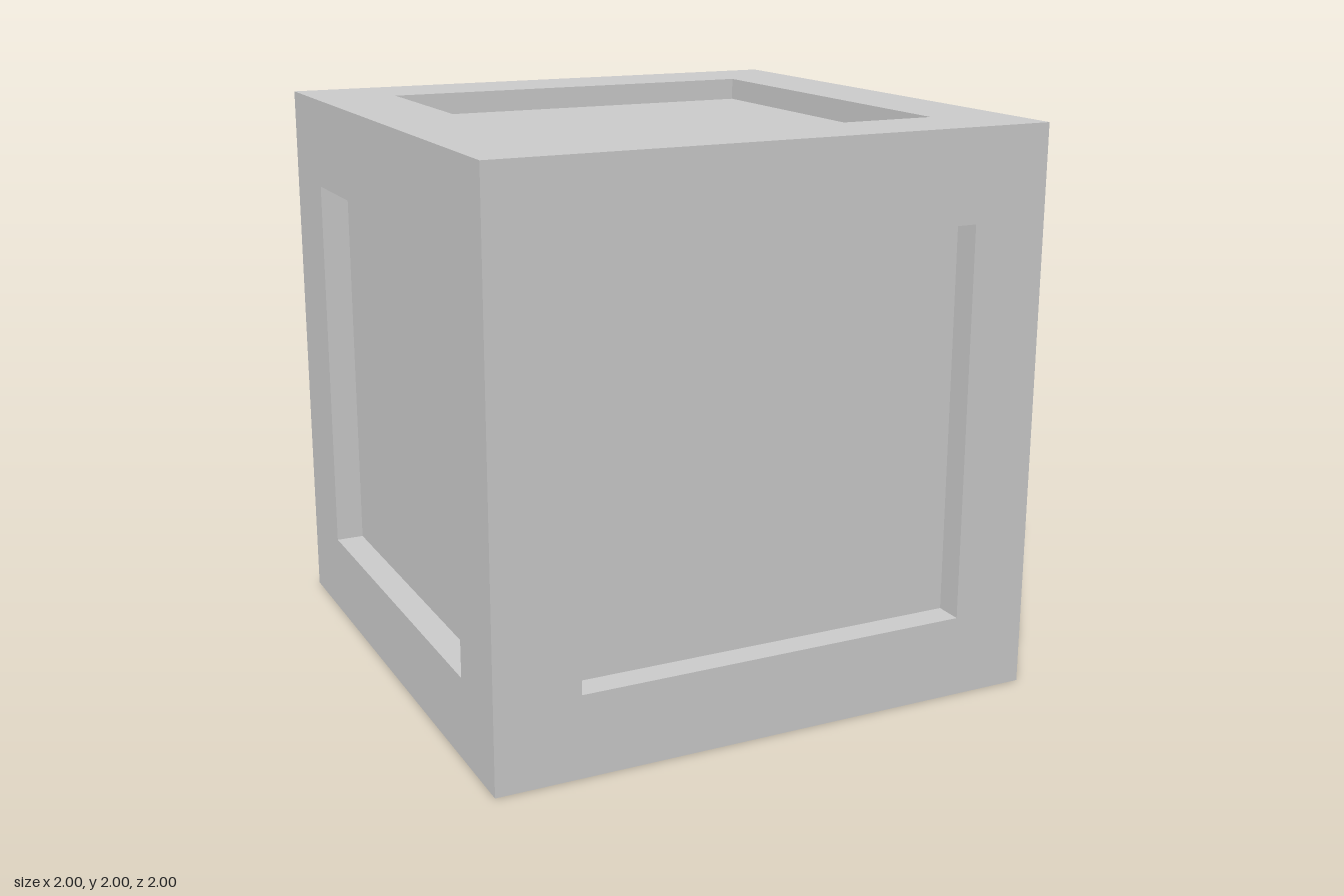
import * as THREE from 'three';

const material = new THREE.MeshStandardMaterial({ color: 0xcccccc, flatShading: true });

// Recess opening, measured from the cube's centre, and recess depth per axis
const LOW = new THREE.Vector3(-0.7, -0.71, -0.69);
const HIGH = new THREE.Vector3(0.725, 0.68, 0.715);
const DEPTH = new THREE.Vector3(0.1, 0.08, 0.1);

function rectangle(corners) {
  return corners.map(([u, v]) => new THREE.Vector2(u, v));
}

function addPart(group, name, geometry) {
  const mesh = new THREE.Mesh(geometry, material);
  mesh.name = name;
  group.add(mesh);
  return mesh;
}

// Four inward-facing walls around the opening
function wallGeometry(corners, depth) {
  const positions = [];
  corners.forEach((a, i) => {
    const b = corners[(i + 1) % 4];
    positions.push(...a, 0, ...b, 0, ...b, -depth);
    positions.push(...a, 0, ...b, -depth, ...a, -depth);
  });
  const geometry = new THREE.BufferGeometry();
  geometry.setAttribute('position', new THREE.Float32BufferAttribute(positions, 3));
  geometry.computeVertexNormals();
  return geometry;
}

// One cube side: flat border, recess walls and sunken panel
function createSide(name, right, up) {
  const u = new THREE.Vector3(...right);
  const v = new THREE.Vector3(...up);
  const n = new THREE.Vector3().crossVectors(u, v);
  const [u0, u1] = [LOW.dot(u), HIGH.dot(u)].sort((a, b) => a - b);
  const [v0, v1] = [LOW.dot(v), HIGH.dot(v)].sort((a, b) => a - b);
  const depth = Math.abs(DEPTH.dot(n));
  const opening = [[u0, v0], [u1, v0], [u1, v1], [u0, v1]];

  const side = new THREE.Group();
  side.name = name;

  const border = new THREE.Shape(rectangle([[-1, -1], [1, -1], [1, 1], [-1, 1]]));
  border.holes.push(new THREE.Path(rectangle(opening)));
  addPart(side, 'border', new THREE.ShapeGeometry(border));
  addPart(side, 'recessWalls', wallGeometry(opening, depth));
  const panel = addPart(side, 'sunkenPanel', new THREE.PlaneGeometry(u1 - u0, v1 - v0));
  panel.position.set((u0 + u1) / 2, (v0 + v1) / 2, -depth);

  side.quaternion.setFromRotationMatrix(new THREE.Matrix4().makeBasis(u, v, n));
  side.position.copy(n).add(new THREE.Vector3(0, 1, 0));
  return side;
}

export function createModel() {
  const crate = new THREE.Group();
  crate.name = 'crate';
  const sides = [
    ['frontSide', [1, 0, 0], [0, 1, 0]],
    ['backSide', [-1, 0, 0], [0, 1, 0]],
    ['leftSide', [0, 0, -1], [0, 1, 0]],
    ['rightSide', [0, 0, 1], [0, 1, 0]],
    ['topSide', [1, 0, 0], [0, 0, -1]],
    ['bottomSide', [1, 0, 0], [0, 0, 1]],
  ];
  for (const side of sides) crate.add(createSide(...side));
  return crate;
}
